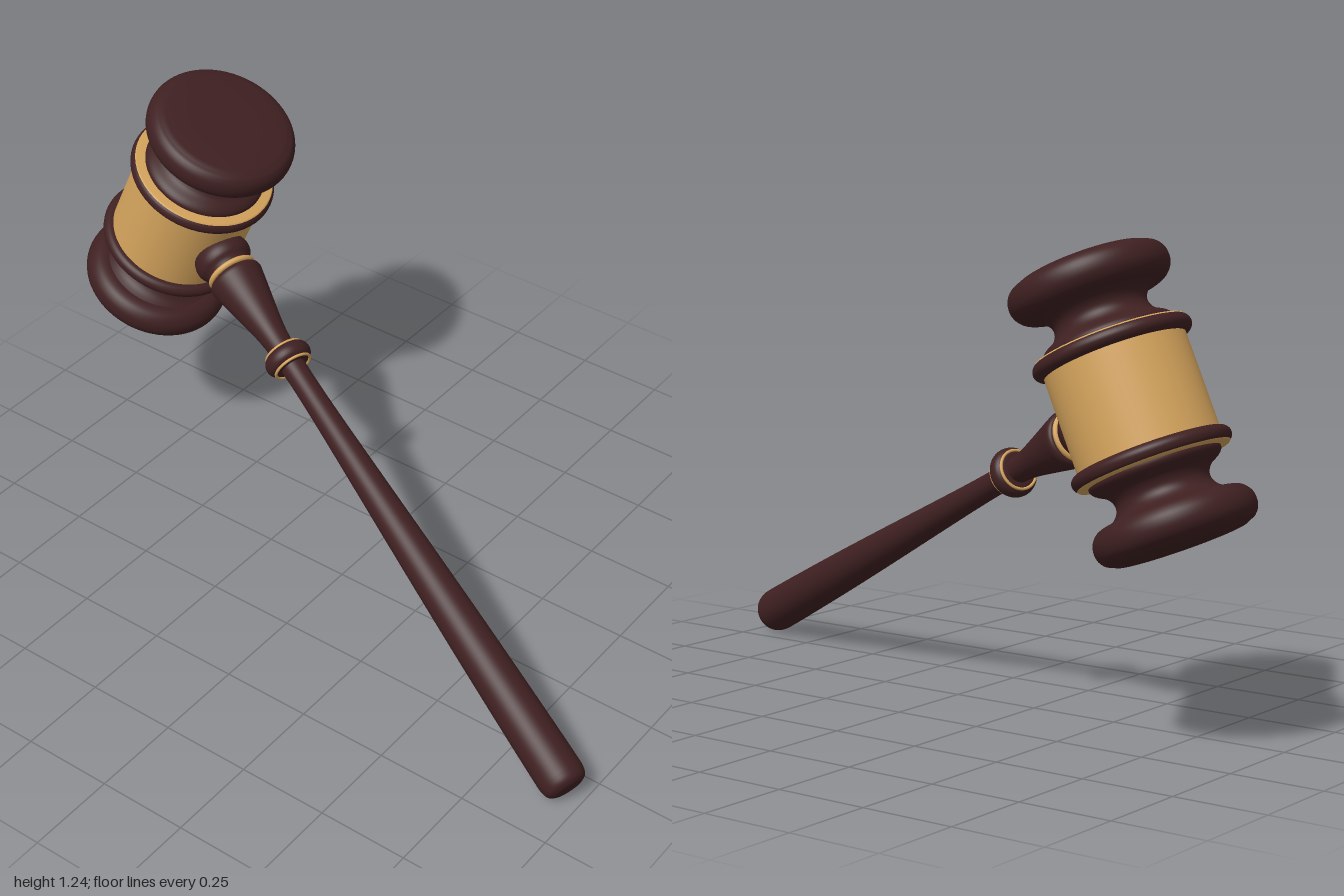
import * as THREE from 'three';

const wood = new THREE.MeshStandardMaterial({ color: 0x3f2021 });
wood.name = 'darkWood';
const brass = new THREE.MeshStandardMaterial({ color: 0xd4a35c });
brass.name = 'brass';

// Turned part from [radius, height] points, listed from low to high
function turned(name, points, material, smooth = false, sides = 64) {
  let pts = points.map(([r, y]) => new THREE.Vector2(r, y));
  if (smooth) pts = new THREE.SplineCurve(pts).getPoints(points.length * 5);
  pts.forEach((p) => { p.x = Math.max(p.x, 0); });
  const mesh = new THREE.Mesh(new THREE.LatheGeometry(pts, sides), material);
  mesh.name = name;
  return mesh;
}

// Thin round bead around the axis
function bead(name, radius, tube, y, material) {
  const mesh = new THREE.Mesh(new THREE.TorusGeometry(radius, tube, 10, 64), material);
  mesh.rotation.x = Math.PI / 2;
  mesh.position.y = y;
  mesh.name = name;
  return mesh;
}

// One end of the head: rim, brass shoulder, waisted neck and striking cap
function headEnd(name) {
  const end = new THREE.Group();
  end.name = name;
  end.add(
    turned('rim', [[0.175, 0.122], [0.19, 0.124], [0.199, 0.132], [0.202, 0.142],
      [0.199, 0.153], [0.193, 0.16]], wood, true),
    turned('brassShoulder', [[0.194, 0.159], [0.19, 0.163], [0.15, 0.164]], brass),
    turned('neck', [[0.167, 0.16], [0.166, 0.172], [0.155, 0.184], [0.132, 0.198], [0.12, 0.218],
      [0.122, 0.238], [0.137, 0.256], [0.16, 0.267]], wood, true),
    turned('cap', [[0.14, 0.265], [0.165, 0.265], [0.186, 0.273], [0.201, 0.292], [0.205, 0.313],
      [0.201, 0.333], [0.19, 0.348], [0.178, 0.354]], wood, true),
    turned('strikingFace', [[0.178, 0.354], [0.165, 0.36], [0.1, 0.363], [0, 0.364]], wood),
  );
  return end;
}

export function createModel() {
  const model = new THREE.Group();
  model.name = 'gavel';
  const centre = new THREE.Vector3(-0.679, 0.857, -0.2);
  const up = new THREE.Vector3(0, 1, 0);

  // Head
  const head = new THREE.Group();
  head.name = 'head';
  head.position.copy(centre);
  head.quaternion.setFromUnitVectors(up, new THREE.Vector3(0.42, 0.907, 0.02).normalize());
  head.add(turned('brassBand', [[0.18, -0.13], [0.18, 0.13]], brass));
  const lower = headEnd('lowerEnd');
  lower.rotation.x = Math.PI;
  head.add(headEnd('upperEnd'), lower);
  model.add(head);

  // Handle, its length measured from the centre of the head
  const handle = new THREE.Group();
  handle.name = 'handle';
  handle.position.copy(centre);
  handle.quaternion.setFromUnitVectors(up, new THREE.Vector3(1.645, -0.8, 0.55).normalize());
  handle.add(
    turned('collar', [[0.06, 0.15], [0.073, 0.165], [0.08, 0.188], [0.077, 0.208], [0.066, 0.224],
      [0.06, 0.245]], wood, true),
    bead('collarBrassRing', 0.063, 0.008, 0.24, brass),
    turned('ferrule', [[0.055, 0.25], [0.07, 0.252], [0.076, 0.264], [0.073, 0.285], [0.062, 0.34],
      [0.05, 0.4], [0.041, 0.45], [0.036, 0.5], [0.036, 0.53]], wood, true),
    turned('gripRing', [[0.034, 0.512], [0.05, 0.515], [0.062, 0.525], [0.066, 0.54],
      [0.062, 0.555], [0.05, 0.564], [0.034, 0.567]], wood, true),
    bead('ringBrassUpper', 0.052, 0.004, 0.515, brass),
    bead('ringBrassLower', 0.052, 0.004, 0.565, brass),
    turned('shaft', [[0.035, 0.55], [0.033, 0.62], [0.035, 0.75], [0.041, 0.95], [0.049, 1.2],
      [0.056, 1.45], [0.061, 1.7], [0.063, 1.85], [0.062, 1.885], [0.055, 1.905],
      [0.04, 1.914]], wood, true, 48),
    turned('shaftEnd', [[0.04, 1.914], [0.02, 1.917], [0, 1.918]], wood, false, 48),
  );
  model.add(handle);
  return model;
}
